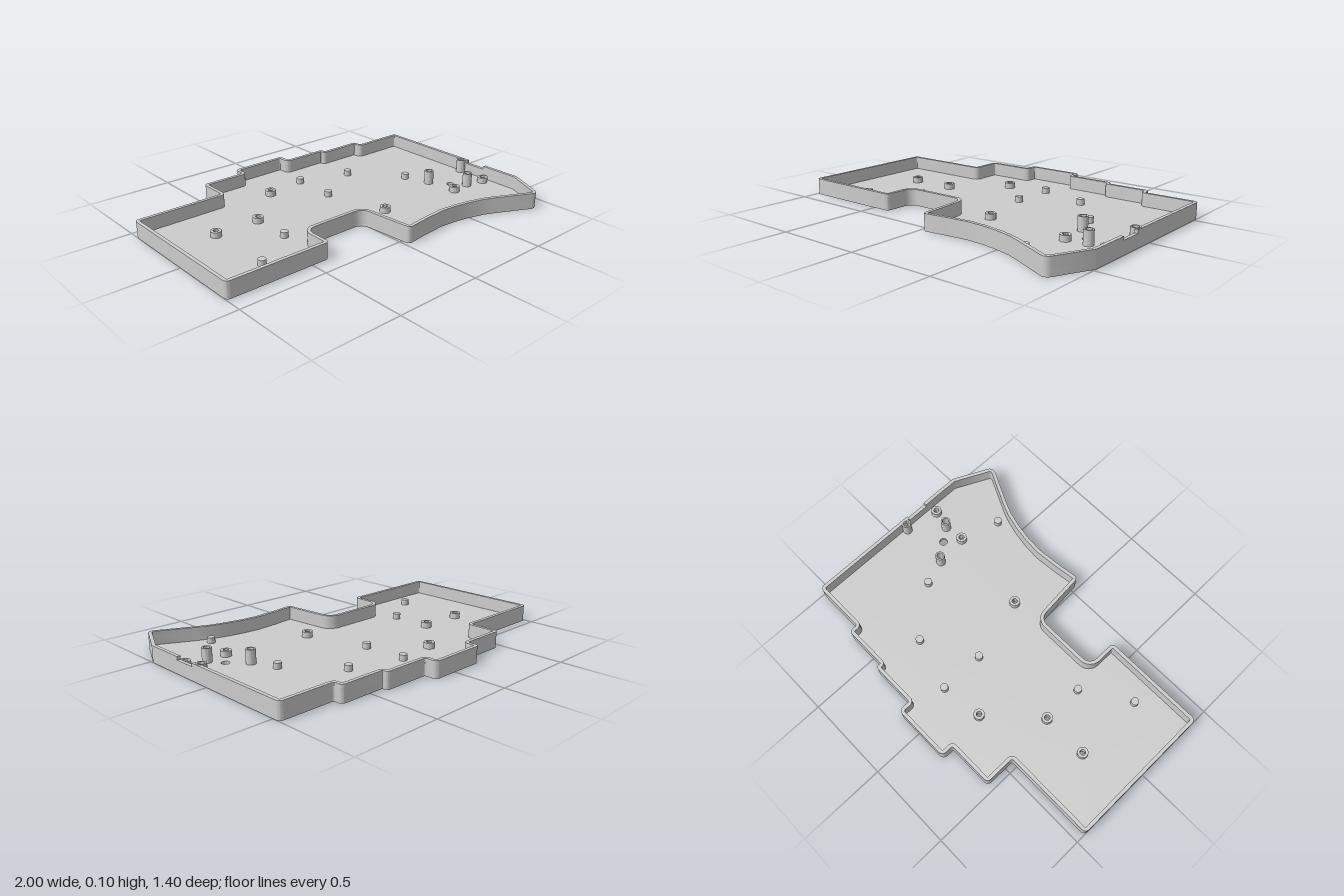
import * as THREE from 'three';
import { toCreasedNormals } from 'three/addons/utils/BufferGeometryUtils.js';

const FLOOR = 0.017, NOTCH_Y = 0.075, RIM = 0.094, WALL = 0.02;
const NOTCH_BACK = 0.115, NOTCH_FRONT = 0.245;

// Case outline: x, z, corner radius (runs from the right side round the front, left and back)
const OUTLINE = [
  [1, 0.48, 0.04], [0.888, 0.712, 0.035], [0.65, 0.595, 0], [0.59, 0.57, 0], [0.5, 0.545, 0],
  [0.4, 0.527, 0], [0.3, 0.519, 0], [0.16, 0.531, 0], [0.02, 0.549, 0.022],
  [-0.008, 0.219, 0.055], [-0.391, 0.219, 0.055], [-0.391, 0.4, 0.025], [-1, 0.4, 0.025],
  [-1, -0.45, 0.025], [-0.465, -0.45, 0.012], [-0.465, -0.63, 0.025], [-0.197, -0.63, 0.01],
  [-0.197, -0.703, 0.028], [0.147, -0.703, 0.028], [0.147, -0.63, 0.01], [0.419, -0.63, 0.02],
  [0.419, -0.598, 0.005], [0.682, -0.598, 0.022], [0.682, -0.545, 0.01], [1, -0.545, 0.025],
];

// Through-hole bosses, plain support pegs, tall tubes (x, z)
const BOSSES = [[-0.697, -0.15], [-0.43, -0.15], [-0.158, -0.401], [0.183, 0.204], [0.695, 0.265], [0.933, 0.281]];
const PEGS = [[0.087, -0.432], [0.391, -0.341], [0.087, -0.17], [0.621, -0.068], [-0.433, 0.087], [-0.7, 0.258], [0.627, 0.498]];
const TUBES = [[0.674, 0.079], [0.819, 0.255], [0.968, 0.079]];
const FLOOR_HOLE = [0.761, 0.178];

// Outline inset by a distance, with true arcs at the rounded corners
function roundedOutline(inset) {
  const out = [], count = OUTLINE.length;
  const corner = (i) => new THREE.Vector2(...OUTLINE[(i + count) % count].slice(0, 2));
  for (let i = 0; i < count; i++) {
    const p = corner(i);
    const d1 = p.clone().sub(corner(i - 1)).normalize();
    const d2 = corner(i + 1).sub(p).normalize();
    const n1 = new THREE.Vector2(-d1.y, d1.x), n2 = new THREE.Vector2(-d2.y, d2.x);
    const miter = n1.clone().add(n2).divideScalar(1 + n1.dot(n2));
    p.addScaledVector(miter, inset);
    const side = Math.sign(d1.cross(d2));
    if (OUTLINE[i][2] === 0) { out.push(p); continue; }
    const r = Math.max(OUTLINE[i][2] - side * inset, 0.002);
    const center = p.clone().addScaledVector(miter, side * r);
    const start = Math.atan2(-n1.y * side, -n1.x * side);
    const sweep = Math.atan2(d1.cross(d2), d1.dot(d2));
    for (let k = 0; k <= 6; k++) {
      const a = start + sweep * k / 6;
      out.push(new THREE.Vector2(center.x + r * Math.cos(a), center.y + r * Math.sin(a)));
    }
  }
  return out;
}

// Plan points to shape points, wound counter-clockwise so walls and holes face outwards
const toPlan = (points) => points.map((p) => new THREE.Vector2(p.x, -p.y)).reverse();

function circle(Type, x, z, r) {
  const c = new Type();
  c.absarc(x, -z, r, 0, Math.PI * 2, false);
  return c;
}

export function createModel() {
  const group = new THREE.Group();
  const grey = new THREE.MeshStandardMaterial({ color: 0xcccccc });
  grey.name = 'caseGrey';

  const add = (name, geometry) => {
    const mesh = new THREE.Mesh(geometry, grey);
    mesh.name = name;
    group.add(mesh);
  };
  // Raise a plan shape from y0 to y1
  const raise = (name, shape, y0, y1) => {
    const g = new THREE.ExtrudeGeometry(shape, { depth: y1 - y0, bevelEnabled: false, curveSegments: 24 });
    g.rotateX(-Math.PI / 2).translate(0, y0, 0);
    add(name, toCreasedNormals(g, 0.6));
  };
  const ring = (name, [x, z], r, hole, top) => {
    const shape = circle(THREE.Shape, x, z, r);
    shape.holes.push(circle(THREE.Path, x, z, hole));
    raise(name, shape, FLOOR, top);
  };

  const outer = roundedOutline(0), inner = roundedOutline(WALL);

  // Floor plate with screw holes and one larger opening
  const floor = new THREE.Shape(toPlan(outer));
  BOSSES.forEach(([x, z]) => floor.holes.push(circle(THREE.Path, x, z, 0.015)));
  floor.holes.push(circle(THREE.Path, ...FLOOR_HOLE, 0.023));
  raise('floor', floor, 0, FLOOR);

  // Closed wall up to the bottom of the side notch
  const wall = new THREE.Shape(toPlan(outer));
  wall.holes.push(new THREE.Path(toPlan(inner)));
  raise('lowerWall', wall, FLOOR, NOTCH_Y);

  // Upper wall, left open at the notch on the +x side
  const v = (x, z) => new THREE.Vector2(x, z);
  const open = [
    v(1, NOTCH_FRONT), ...outer, v(1, NOTCH_BACK),
    v(1 - WALL, NOTCH_BACK), ...inner.slice().reverse(), v(1 - WALL, NOTCH_FRONT),
  ];
  raise('upperWall', new THREE.Shape(toPlan(open)), NOTCH_Y, RIM);

  // Standing fittings on the floor
  BOSSES.forEach((p) => ring('screwBoss', p, 0.03, 0.015, 0.05));
  TUBES.forEach((p) => ring('tallTube', p, 0.027, 0.018, 0.097));
  PEGS.forEach(([x, z]) => {
    const h = 0.033;
    add('supportPeg', new THREE.CylinderGeometry(0.022, 0.022, h, 32).translate(x, FLOOR + h / 2, z));
  });

  return group;
}
